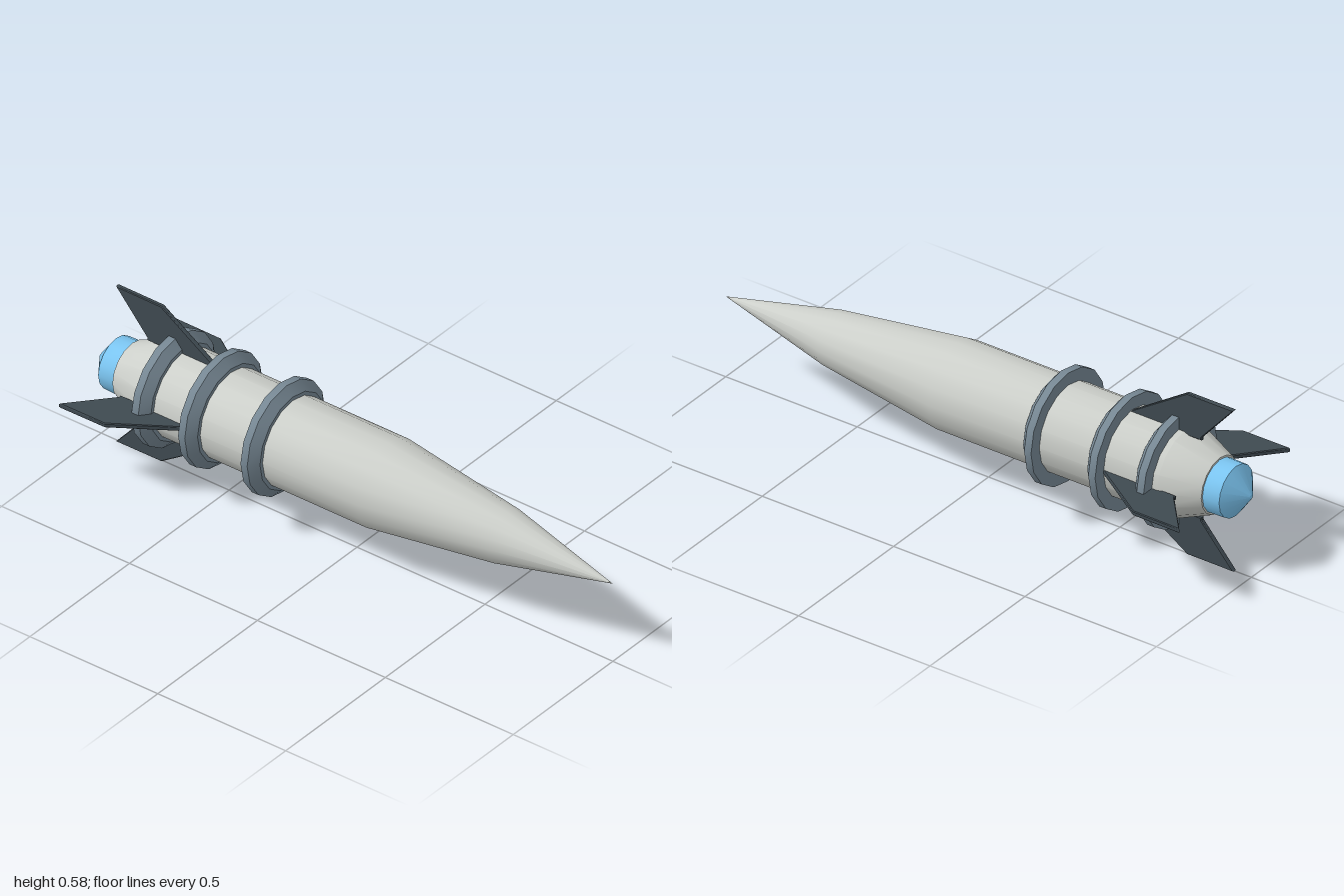
import * as THREE from 'three';
import { toCreasedNormals } from 'three/addons/utils/BufferGeometryUtils.js';

const AXIS_Y = 0.292; // height of the long axis
const SIDES = 16;

const paint = (color) => new THREE.MeshStandardMaterial({ color });

// Turned part lying along z; the profile is [radius, z] from back to front
function turned(name, profile, material) {
  const points = profile.map(([r, z]) => new THREE.Vector2(r, z));
  const geometry = new THREE.LatheGeometry(points, SIDES).rotateX(Math.PI / 2);
  const mesh = new THREE.Mesh(toCreasedNormals(geometry, Math.PI / 6), material);
  mesh.name = name;
  return mesh;
}

// Swept fin plate in the xz plane with slightly bevelled edges
function finGeometry() {
  const outline = [[0.14, -0.53], [0.292, -0.76], [0.292, -0.937], [0.15, -0.815], [0.14, -0.815]];
  const shape = new THREE.Shape(outline.map(([r, z]) => new THREE.Vector2(r, z)));
  const bevel = 0.003;
  const geometry = new THREE.ExtrudeGeometry(shape, {
    depth: 0.01, bevelEnabled: true, bevelSegments: 1,
    bevelThickness: bevel, bevelSize: bevel, bevelOffset: -bevel,
  });
  return geometry.translate(0, 0, -0.005).rotateX(Math.PI / 2);
}

export function createModel() {
  const model = new THREE.Group();
  model.name = 'rocket';
  const rocket = new THREE.Group();
  rocket.name = 'rocketBody';
  rocket.position.y = AXIS_Y;
  model.add(rocket);

  const hullPaint = paint(0xcccfca);
  const bandPaint = paint(0x778894);
  const finPaint = paint(0x3f4a51);
  const enginePaint = paint(0x7cc6f2);

  // Hull with pointed nose and tapered tail
  rocket.add(turned('hull', [
    [0, -0.88], [0.098, -0.88], [0.152, -0.75], [0.152, 0.12], [0.092, 0.585], [0, 1],
  ], hullPaint));

  // Engine cap at the tail
  rocket.add(turned('engineCap', [
    [0, -1], [0.008, -1], [0.09, -0.942], [0.092, -0.86],
  ], enginePaint));

  // Three bands, chamfered towards the front
  [-0.303, -0.547, -0.73].forEach((back, i) => {
    rocket.add(turned(`band${i + 1}`, [
      [0.14, back], [0.196, back], [0.196, back + 0.026], [0.165, back + 0.052], [0.14, back + 0.052],
    ], bandPaint));
  });

  // Four fins around the tail
  const fin = finGeometry();
  ['leftFin', 'topFin', 'rightFin', 'bottomFin'].forEach((name, i) => {
    const mesh = new THREE.Mesh(fin, finPaint);
    mesh.name = name;
    mesh.rotation.z = (i * Math.PI) / 2;
    rocket.add(mesh);
  });

  return model;
}
